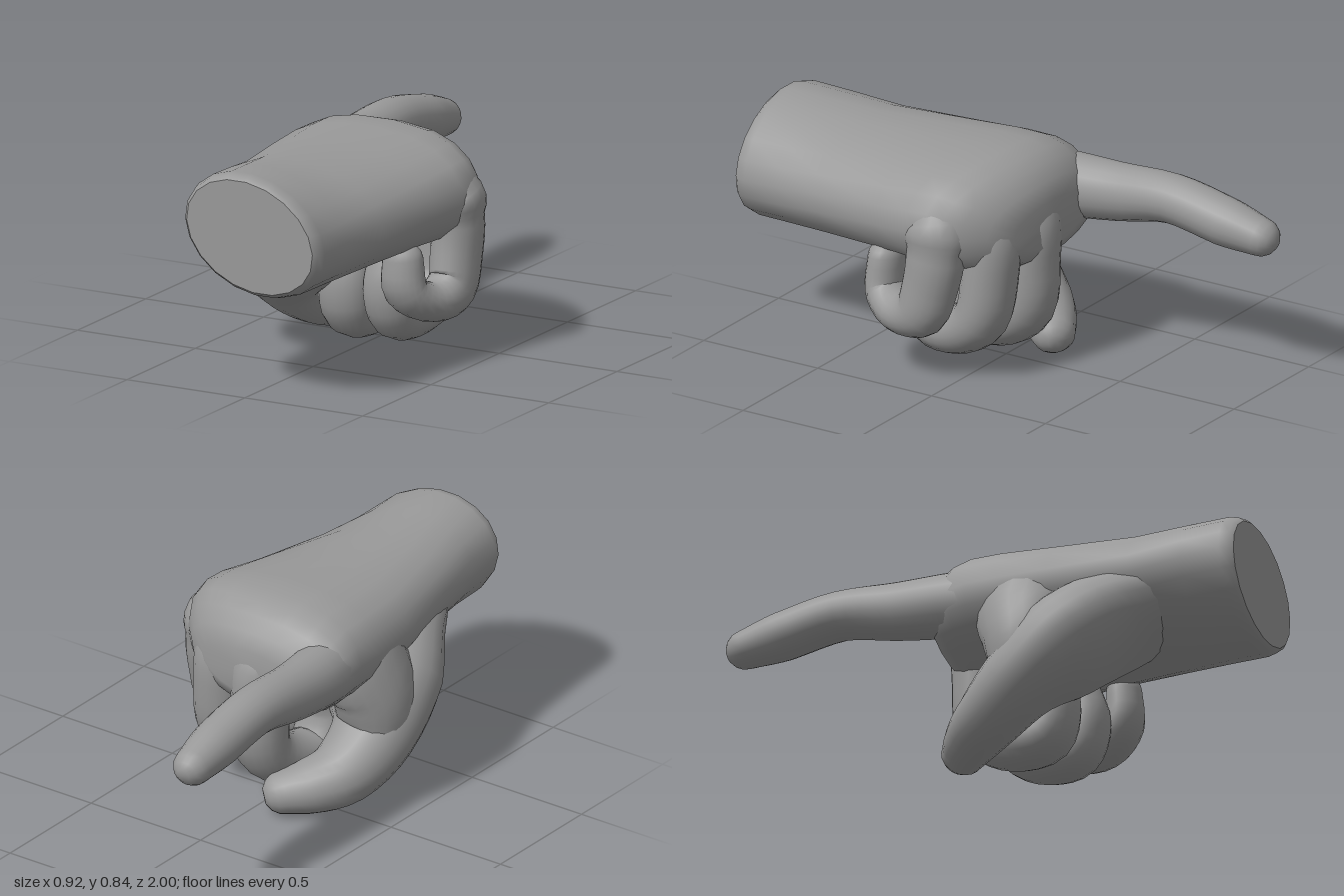
import * as THREE from 'three';

const SIDES = 20;
const skin = new THREE.MeshStandardMaterial({ color: 0x999999 });
skin.name = 'grey skin';

// Skin a list of closed rings (arrays of SIDES points) into one smooth mesh.
function loft(name, rings) {
  const pos = [], idx = [];
  rings.forEach(r => r.forEach(p => pos.push(p.x, p.y, p.z)));
  for (let i = 0; i < rings.length - 1; i++) {
    for (let j = 0; j < SIDES; j++) {
      const a = i * SIDES + j, b = i * SIDES + (j + 1) % SIDES;
      const d = a + SIDES, e = b + SIDES;
      idx.push(a, d, b, b, d, e);
    }
  }
  // close the far end
  const last = rings[rings.length - 1], c = new THREE.Vector3();
  last.forEach(p => c.addScaledVector(p, 1 / SIDES));
  pos.push(c.x, c.y, c.z);
  const n = (rings.length - 1) * SIDES, tip = rings.length * SIDES;
  for (let j = 0; j < SIDES; j++) idx.push(n + j, tip, n + (j + 1) % SIDES);
  const geo = new THREE.BufferGeometry();
  geo.setAttribute('position', new THREE.Float32BufferAttribute(pos, 3));
  geo.setIndex(idx);
  geo.computeVertexNormals();
  const mesh = new THREE.Mesh(geo, skin);
  mesh.name = name;
  return mesh;
}

// Finger along a curve; each key is [x, y, z, sideways radius, other radius].
function finger(name, keys) {
  const curve = new THREE.CatmullRomCurve3(keys.map(k => new THREE.Vector3(k[0], k[1], k[2])));
  const radii = new THREE.CatmullRomCurve3(keys.map(k => new THREE.Vector3(k[3], k[4], 0)));
  const rings = [];
  const addRing = (t, scale, push) => {
    const p = curve.getPoint(t), T = curve.getTangent(t), r = radii.getPoint(t);
    const S = new THREE.Vector3(1, 0, 0).addScaledVector(T, -T.x).normalize();
    const U = new THREE.Vector3().crossVectors(S, T);
    p.addScaledVector(T, push * Math.min(r.x, r.y));
    rings.push(Array.from({ length: SIDES }, (_, j) => {
      const a = j / SIDES * Math.PI * 2;
      return p.clone().addScaledVector(S, Math.cos(a) * r.x * scale)
        .addScaledVector(U, Math.sin(a) * r.y * scale);
    }));
  };
  const steps = (keys.length - 1) * 4;
  for (let i = 0; i <= steps; i++) addRing(i / steps, 1, 0);
  for (const a of [0.4, 0.8, 1.2]) addRing(1, Math.cos(a), Math.sin(a)); // rounded tip
  return loft(name, rings);
}

// Cross-section of wrist and palm: squared ellipse, tilted, swept back on the little-finger side.
function section([z, cx, cy, rx, ry, tilt, power]) {
  const sq = v => Math.sign(v) * Math.pow(Math.abs(v), 2 / power);
  const w = 1 - THREE.MathUtils.smoothstep(z, -0.15, 0.4);
  return Array.from({ length: SIDES }, (_, j) => {
    const a = j / SIDES * Math.PI * 2;
    const u = sq(Math.cos(a)) * rx, v = sq(Math.sin(a)) * ry;
    const x = cx + u * Math.cos(tilt) - v * Math.sin(tilt);
    const y = cy + u * Math.sin(tilt) + v * Math.cos(tilt);
    const back = Math.max(0, x);
    return new THREE.Vector3(x, y, z + 0.6 * back * back * w);
  });
}

export function createModel() {
  const hand = new THREE.Group();
  hand.name = 'pointingHand';

  // wrist and palm
  const wristEnd = [1, 0.02, 0.615, 0.275, 0.2, -0.35, 2];
  hand.add(loft('palm', [
    wristEnd,
    [0.985, 0.02, 0.615, 0.29, 0.213, -0.35, 2],
    [0.95, 0.02, 0.615, 0.3, 0.22, -0.35, 2],
    [0.8, 0.02, 0.612, 0.308, 0.212, -0.3, 2.05],
    [0.6, 0.025, 0.608, 0.335, 0.2, -0.18, 2.15],
    [0.3, 0.025, 0.612, 0.388, 0.2, -0.08, 2.3],
    [0.1, 0.03, 0.615, 0.41, 0.208, -0.05, 2.4],
    [-0.02, 0.03, 0.617, 0.41, 0.207, -0.04, 2.4],
    [-0.09, 0.025, 0.606, 0.402, 0.197, -0.03, 2.4],
    [-0.14, 0.012, 0.592, 0.378, 0.182, -0.02, 2.3],
    [-0.185, 0, 0.58, 0.32, 0.145, 0, 2.2],
    [-0.21, 0, 0.57, 0.22, 0.09, 0, 2],
  ].map(section)));

  // flat cut at the wrist, ring reversed so it faces forward
  hand.add(loft('wristCap', [section(wristEnd).reverse()]));

  // outstretched finger
  hand.add(finger('indexFinger', [
    [-0.25, 0.61, 0.08, 0.11, 0.13],
    [-0.268, 0.612, -0.14, 0.114, 0.122],
    [-0.278, 0.62, -0.32, 0.102, 0.11],
    [-0.28, 0.642, -0.55, 0.097, 0.093],
    [-0.28, 0.602, -0.78, 0.094, 0.092],
    [-0.285, 0.572, -0.93, 0.075, 0.073],
  ]));

  // curled fingers, each rooted inside the palm
  hand.add(finger('middleFinger', [
    [-0.01, 0.66, 0.02, 0.1, 0.09],
    [0.0, 0.59, -0.105, 0.112, 0.1],
    [0.01, 0.4, -0.118, 0.114, 0.104],
    [0.01, 0.22, -0.1, 0.11, 0.102],
    [-0.015, 0.13, 0.03, 0.107, 0.1],
    [-0.03, 0.13, 0.17, 0.107, 0.092],
    [-0.03, 0.25, 0.215, 0.105, 0.075],
    [-0.02, 0.36, 0.19, 0.09, 0.07],
  ]));
  hand.add(finger('ringFinger', [
    [0.18, 0.66, 0.06, 0.1, 0.09],
    [0.2, 0.59, -0.062, 0.114, 0.1],
    [0.215, 0.4, -0.07, 0.114, 0.104],
    [0.22, 0.23, -0.035, 0.112, 0.102],
    [0.195, 0.15, 0.08, 0.108, 0.093],
    [0.178, 0.15, 0.2, 0.102, 0.088],
    [0.172, 0.26, 0.25, 0.098, 0.075],
    [0.168, 0.37, 0.225, 0.086, 0.07],
  ]));
  hand.add(finger('littleFinger', [
    [0.27, 0.65, 0.2, 0.09, 0.11],
    [0.335, 0.62, 0.085, 0.1, 0.115],
    [0.36, 0.52, 0.07, 0.1, 0.115],
    [0.37, 0.38, 0.09, 0.094, 0.108],
    [0.373, 0.27, 0.13, 0.09, 0.102],
    [0.35, 0.235, 0.235, 0.09, 0.076],
    [0.298, 0.29, 0.332, 0.09, 0.072],
    [0.287, 0.415, 0.338, 0.08, 0.064],
  ]));

  // thumb with its broad base merging into the palm
  hand.add(finger('thumb', [
    [0.0, 0.61, 0.72, 0.21, 0.12],
    [-0.1, 0.515, 0.49, 0.24, 0.165],
    [-0.225, 0.385, 0.32, 0.228, 0.18],
    [-0.285, 0.25, 0.175, 0.164, 0.147],
    [-0.25, 0.14, 0.03, 0.132, 0.121],
    [-0.175, 0.1, -0.07, 0.108, 0.1],
    [-0.11, 0.083, -0.132, 0.086, 0.082],
  ]));

  // flesh between the index knuckle and the thumb, tapering into both
  hand.add(finger('thumbWeb', [
    [-0.21, 0.68, 0.18, 0.12, 0.16],
    [-0.255, 0.54, 0.17, 0.14, 0.185],
    [-0.285, 0.4, 0.19, 0.15, 0.165],
    [-0.28, 0.28, 0.17, 0.14, 0.13],
    [-0.255, 0.19, 0.1, 0.11, 0.1],
  ]));

  return hand;
}
